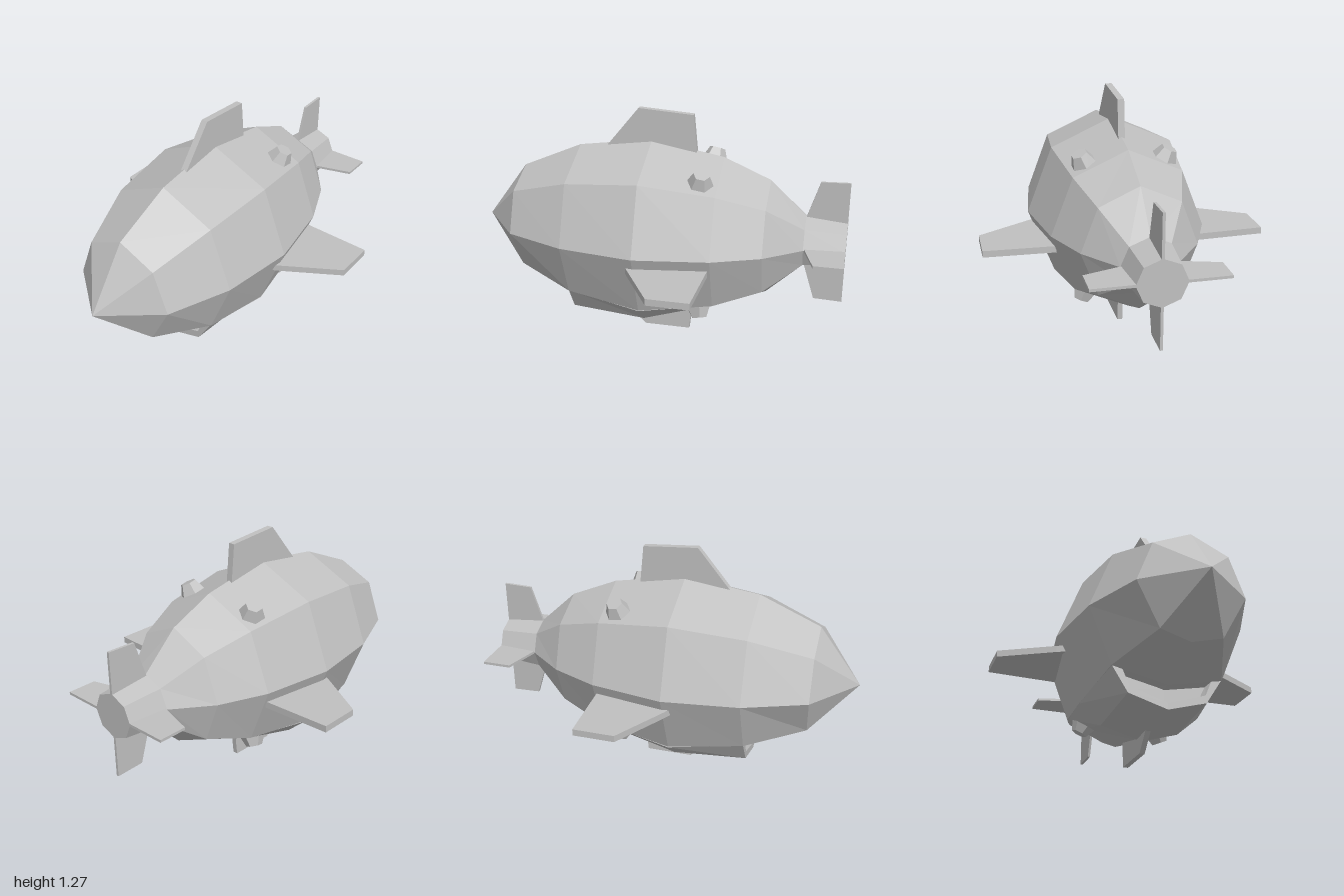
import * as THREE from 'three';

const grey = new THREE.MeshStandardMaterial({ color: 0xc0c0c0, flatShading: true });
grey.name = 'hull grey';

// Skin a list of rings (counterclockwise seen from the front), capping both ends.
function loft(rings) {
  const pos = [];
  const tri = (...pts) => pts.forEach((p) => pos.push(...p));
  const n = rings[0].length;
  const middle = (ring) => [0, 1, 2].map((k) => ring.reduce((s, p) => s + p[k], 0) / n);
  for (let r = 0; r < rings.length - 1; r++) {
    for (let i = 0; i < n; i++) {
      const j = (i + 1) % n;
      const a = rings[r][i], b = rings[r][j], c = rings[r + 1][i], d = rings[r + 1][j];
      tri(a, c, b);
      tri(b, c, d);
    }
  }
  const first = rings[0], last = rings[rings.length - 1];
  for (let i = 0; i < n; i++) {
    const j = (i + 1) % n;
    tri(middle(first), first[i], first[j]);
    tri(middle(last), last[j], last[i]);
  }
  const geo = new THREE.BufferGeometry();
  geo.setAttribute('position', new THREE.Float32BufferAttribute(pos, 3));
  geo.computeVertexNormals();
  return geo;
}

// Flat plate from an outline, centred on its thickness.
function plate(outline, thickness) {
  const shape = new THREE.Shape(outline.map(([x, y]) => new THREE.Vector2(x, y)));
  const geo = new THREE.ExtrudeGeometry(shape, { depth: thickness, bevelEnabled: false });
  return geo.translate(0, 0, -thickness / 2);
}
const uprightPlate = (zy, t) => plate(zy, t).rotateY(-Math.PI / 2);
const levelPlate = (xz, t) => plate(xz, t).rotateX(Math.PI / 2);

export function createModel() {
  const group = new THREE.Group();
  const add = (name, geo) => {
    const mesh = new THREE.Mesh(geo, grey);
    mesh.name = name;
    group.add(mesh);
    return mesh;
  };

  // Eight-sided hull: z, half width, half height
  const stations = [
    [1, 0, 0], [0.775, 0.28, 0.305], [0.45, 0.41, 0.445], [0.05, 0.465, 0.5],
    [-0.34, 0.4, 0.43], [-0.59, 0.295, 0.323], [-0.785, 0.145, 0.14], [-1, 0.125, 0.12],
  ];
  const hull = stations.map(([z, w, h]) => Array.from({ length: 8 }, (_, i) => {
    const a = (i * Math.PI) / 4;
    return [w * Math.cos(a), 0.6 + h * Math.sin(a), z];
  }));
  // Pull the underside up into a throat above the intake
  hull[1][5] = [-0.16, 0.375, 0.76];
  hull[1][6] = [0, 0.335, 0.75];
  hull[1][7] = [0.16, 0.375, 0.76];
  hull[2][5] = [-0.29, 0.3, 0.45];
  hull[2][6] = [0, 0.24, 0.45];
  hull[2][7] = [0.29, 0.3, 0.45];
  hull[3][6] = [0, 0.16, 0.05];
  add('hull', loft(hull));

  // Chin intake: recess, lip, then an outer skin fading into the belly
  const section = (z, sideX, sideY, lowX, lowY, bottom, top) => [
    [sideX, sideY, z], [0, top, z], [-sideX, sideY, z],
    [-lowX, lowY, z], [0, bottom, z], [lowX, lowY, z],
  ];
  add('chinIntake', loft([
    section(0.4, 0.225, 0.29, 0.19, 0.215, 0.15, 0.24),
    section(0.45, 0.235, 0.293, 0.2, 0.21, 0.145, 0.24),
    section(0.45, 0.29, 0.305, 0.205, 0.17, 0.11, 0.24),
    section(0.05, 0.33, 0.243, 0.212, 0.14, 0.083, 0.24),
    section(-0.34, 0.28, 0.297, 0.19, 0.257, 0.171, 0.35),
  ]));

  // Upper and lower fins
  add('dorsalFin', uprightPlate([[0.3, 1.05], [0.12, 1.27], [-0.175, 1.25], [-0.2, 1.0], [0.28, 1.0]], 0.035));
  add('bellyFin', uprightPlate([[0.2, 0.12], [0.09, 0], [-0.165, 0], [-0.185, 0.2], [0.15, 0.2]], 0.028));

  // Side wings and level tail fins
  for (const s of [1, -1]) {
    const side = s > 0 ? 'left' : 'right';
    const wing = [[0.39, 0.11], [0.465, 0.07], [0.745, -0.095], [0.745, -0.312], [0.37, -0.327]];
    add(side + 'Wing', levelPlate(wing.map(([x, z]) => [s * x, z]), 0.035)).position.y = 0.523;
    const tail = [[0.1, -0.785], [0.14, -0.79], [0.335, -0.848], [0.335, -1], [0.1, -1]];
    add(side + 'TailFin', levelPlate(tail.map(([x, z]) => [s * x, z]), 0.014)).position.y = 0.6;
  }

  // Upright tail fins
  for (const s of [1, -1]) {
    const outline = [[-0.785, 0.1], [-0.787, 0.14], [-0.848, 0.333], [-1, 0.338], [-1, 0.1]];
    const fin = add(s > 0 ? 'upperTailFin' : 'lowerTailFin',
      uprightPlate(outline.map(([z, y]) => [z, s * y]), 0.014));
    fin.position.y = 0.6;
  }

  // Four faceted knobs around the rear of the hull
  const up = new THREE.Vector3(0, 1, 0);
  for (const sx of [1, -1]) {
    for (const sy of [1, -1]) {
      const normal = new THREE.Vector3(sx * 0.4, sy * 0.9, -0.17).normalize();
      const name = (sy > 0 ? 'upper' : 'lower') + (sx > 0 ? 'Left' : 'Right') + 'Knob';
      const knob = add(name, new THREE.CylinderGeometry(0.043, 0.078, 0.08, 6));
      knob.quaternion.setFromUnitVectors(up, normal);
      knob.position.set(sx * 0.215, 0.6 + sy * 0.357, -0.255).addScaledVector(normal, 0.012);
    }
  }

  return group;
}
